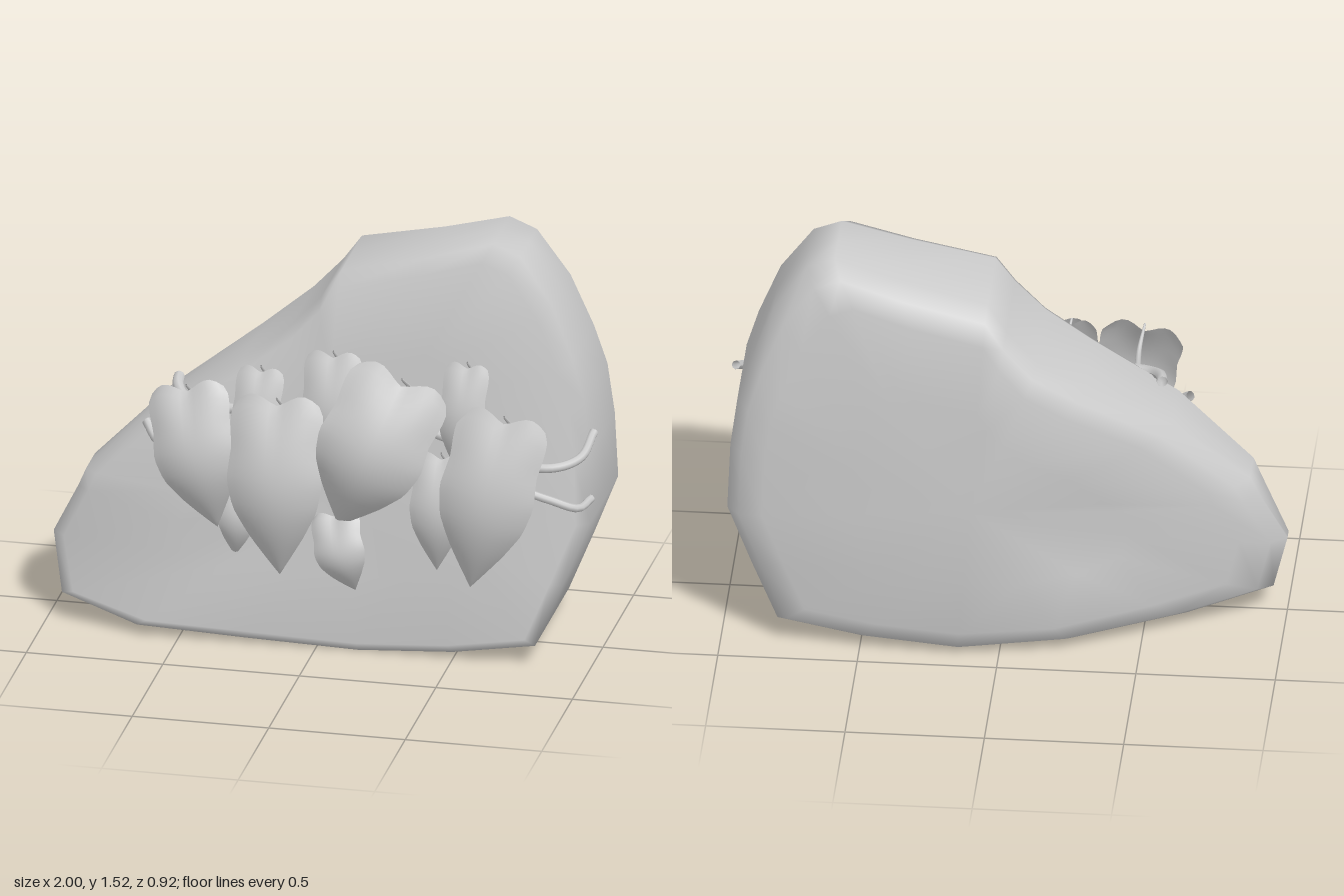
import * as THREE from 'three';
import { mergeVertices } from 'three/addons/utils/BufferGeometryUtils.js';

const grey = new THREE.MeshStandardMaterial({ color: 0xcccccc });
const thin = new THREE.MeshStandardMaterial({ color: 0xcccccc, side: THREE.DoubleSide });

// piecewise linear curve through [x, value] pairs
function lerpCurve(pts, x) {
  for (let i = 1; i < pts.length; i++) {
    if (x <= pts[i][0]) {
      const [x0, a] = pts[i - 1], [x1, b] = pts[i];
      return a + (b - a) * Math.max(0, (x - x0) / (x1 - x0));
    }
  }
  return pts[pts.length - 1][1];
}

// grid of points (rows x cols) to an indexed smooth geometry
function gridGeometry(rows, cols, point) {
  const pos = [], idx = [];
  for (let i = 0; i < rows; i++) for (let j = 0; j < cols; j++) pos.push(...point(i, j));
  for (let i = 0; i < rows - 1; i++) for (let j = 0; j < cols - 1; j++) {
    const a = i * cols + j, b = a + 1, d = a + cols, c = d + 1;
    idx.push(a, d, b, b, d, c);
  }
  let g = new THREE.BufferGeometry();
  g.setAttribute('position', new THREE.Float32BufferAttribute(pos, 3));
  g.setIndex(idx);
  g = mergeVertices(g, 1e-5);
  g.computeVertexNormals();
  return g;
}

// Boulder: outline lofted from the front face to the back face
const outline = [[-1, .3], [-.95, .1], [-.65, .045], [-.25, .025], [.15, .005], [.5, .03], [.8, .08],
  [.89, .3], [.98, .53], [.97, .78], [.945, .97], [.9, 1.12], [.82, 1.32], [.7, 1.49], [.6, 1.53],
  [.36, 1.46], [.05, 1.39], [-.02, 1.29], [-.13, 1.17], [-.3, 1.04], [-.6, .83], [-.87, .57], [-.9, .5]];
const frontZ = (x, y) =>
  lerpCurve([[-1, .13], [-.94, .19], [-.85, .24], [-.6, .29], [.1, .235], [.8, .25], [1, .22]], x)
  - y * lerpCurve([[-.6, .15], [.1, .085], [1, .11]], x);
const backZ = (x, y) =>
  lerpCurve([[-1, -.06], [-.85, -.13], [-.5, -.265], [-.1, -.465], [.4, -.45], [1, -.415]], x)
  + lerpCurve([[0, .03], [.45, 0], [1, .01], [1.3, .05], [1.53, .07]], y);

function makeBoulder() {
  // [scale, front or back, inset from that face at the bottom, extra inset per height]
  const rings = [[0, 0, 0, 0], [.55, 0, 0, 0], [.95, 0, 0, .01], [1, 0, .02, .045], [1, .5, 0, 0],
    [1, 1, .06, .03], [.95, 1, .01, .015], [.85, 1, 0, 0], [.5, 1, 0, 0], [0, 1, 0, 0]];
  const n = outline.length, cx = .1, cy = .62;
  return gridGeometry(rings.length, n + 1, (i, j) => {
    const [s, side, inset, perY] = rings[i], p = outline[j % n];
    const x = cx + (p[0] - cx) * s, y = cy + (p[1] - cy) * s;
    const d = inset + perY * y, f = frontZ(x, y), b = backZ(x, y);
    return [x, y, side === 0 ? f - d : side === 1 ? Math.min(b + d, f - .08) : (f + b) / 2];
  });
}

// Leaf: broad two-lobed top, slight waist, pointed tip, bulging forward
const leafWidth = [[0, .86], [.04, .95], [.12, .97], [.24, .92], [.42, 1], [.58, .88], [.74, .58], [.88, .27], [1, 0]];
function makeLeaf(top, tip, halfWidth, z, bulge) {
  const dx = tip[0] - top[0], dy = tip[1] - top[1], len = Math.hypot(dx, dy);
  const ax = dx / len, ay = dy / len, R = 20, C = 13;
  return gridGeometry(R + 1, C, (i, j) => {
    const t = i / R, u = j / (C - 1) * 2 - 1;
    const lobe = halfWidth * (.22 * Math.sin(Math.PI * Math.abs(u) ** 1.3) - .06) * (1 - t) ** 3;
    const along = t * len - lobe;
    const across = u * halfWidth * lerpCurve(leafWidth, t);
    const cup = halfWidth * .26 * u * u * Math.sin(Math.PI * (.15 + .85 * t));
    return [
      top[0] + ax * along - ay * across,
      top[1] + ay * along + ax * across,
      z + bulge * Math.sin(Math.PI * (.1 + .85 * t)) - cup,
    ];
  });
}

// Vine or stem: tube that tapers towards its end
function makeStem(points, radius, taper) {
  const curve = new THREE.CatmullRomCurve3(points.map(p => new THREE.Vector3(...p)));
  const seg = points.length * 8, sides = 8;
  const g = new THREE.TubeGeometry(curve, seg, radius, sides, false);
  const pos = g.attributes.position, v = new THREE.Vector3();
  for (let i = 0; i <= seg; i++) {
    const c = curve.getPointAt(i / seg), k = 1 - taper * (i / seg);
    for (let j = 0; j <= sides; j++) {
      const n = i * (sides + 1) + j;
      v.fromBufferAttribute(pos, n).sub(c).multiplyScalar(k).add(c);
      pos.setXYZ(n, v.x, v.y, v.z);
    }
  }
  g.computeVertexNormals();
  return g;
}

export function createModel() {
  const model = new THREE.Group();
  const add = (name, geometry, material, parent = model) => {
    const mesh = new THREE.Mesh(geometry, material);
    mesh.name = name;
    parent.add(mesh);
  };

  add('boulder', makeBoulder(), grey);

  // Two vines running across the front face and hooking round the right end
  const vines = new THREE.Group();
  vines.name = 'vines';
  model.add(vines);
  add('upperVine', makeStem([[-.55, .92, .01], [-.54, .91, .07], [-.5, .89, .13], [-.38, .88, .17], [-.15, .89, .18],
    [.15, .93, .18], [.45, .86, .21], [.7, .8, .26], [.87, .79, .26], [.96, .81, .19], [.985, .87, .08]], .02, .2), thin, vines);
  add('lowerVine', makeStem([[-.64, .79, .14], [-.57, .73, .2], [-.3, .68, .2], [0, .72, .19],
    [.35, .7, .2], [.65, .71, .24], [.85, .65, .22], [.95, .61, .18], [.98, .62, .1]], .018, .2), thin, vines);

  // Leaves: [top, tip, half width, z, bulge]
  const leaves = new THREE.Group();
  leaves.name = 'leaves';
  model.add(leaves);
  const list = [
    [[-.465, .98], [-.355, .45], .155, .23, .14],
    [[-.125, .97], [-.12, .3], .175, .26, .15],
    [[.34, 1.1], [.1, .52], .2, .28, .185],
    [[.7, .96], [.57, .3], .175, .23, .14],
    [[.06, 1.13], [.06, .65], .11, .18, .1],
    [[-.21, 1.04], [-.24, .62], .09, .16, .09],
    [[.55, 1.13], [.52, .7], .085, .18, .09],
    [[-.27, .62], [-.3, .33], .07, .2, .08],
    [[.085, .56], [.16, .27], .095, .28, .11],
    [[.46, .78], [.44, .34], .1, .2, .1],
  ];
  list.forEach(([top, tip, w, z, bulge], i) => {
    add('leaf' + (i + 1), makeLeaf(top, tip, w, z, bulge), thin, leaves);
    // Short stem rising from the vine to the notch of the leaf
    const [x, y] = top;
    add('leafStem' + (i + 1), makeStem([[x + .02, y - .13, .18], [x + .015, y - .05, z - .02],
      [x, y + .02, z + bulge * .35]], .013, .7), thin, leaves);
  });

  return model;
}
